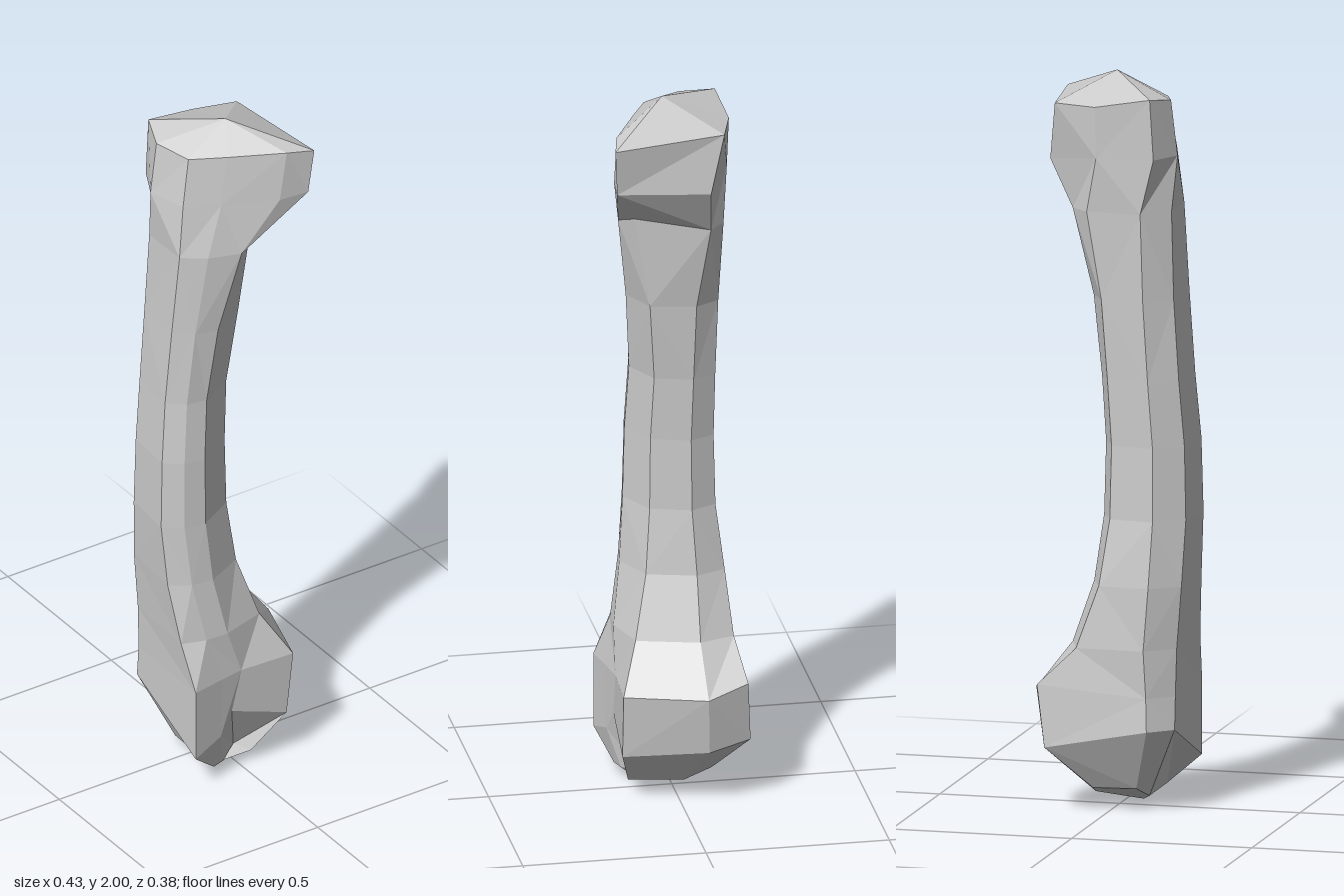
import * as THREE from 'three';

// Eight-sided outlines as fractions of each ring's x and z extent,
// running clockwise from above, starting at the left front corner.
const LOWER = [[0, 1], [0, 0.22], [0.17, 0.06], [0.92, 0], [1, 0.32], [0.83, 0.94], [0.42, 0.92], [0.25, 0.95]];
const SHAFT = [[0, 0.8], [0.04, 0.21], [0.36, 0], [0.86, 0.06], [1, 0.34], [0.87, 0.78], [0.45, 1], [0.2, 0.96]];
const HEAD = [[0.1, 0.6], [0, 0.3], [0.1, 0.03], [0.53, 0], [0.87, 0.1], [1, 1], [0.78, 0.95], [0.36, 0.74]];

// Rings: y, min x, max x, min z, max z, blend (-1 lower end, 0 shaft, 1 head)
const RINGS = [
  [0.035, -0.095, 0.06, -0.1, 0.14, -1],
  [0.14, -0.18, 0.19, -0.185, 0.18, -1],
  [0.32, -0.18, 0.215, -0.175, 0.18, -1],
  [0.45, -0.19, 0.115, -0.165, 0.16, -0.45],
  [0.62, -0.205, 0.055, -0.155, 0.13, -0.15],
  [0.8, -0.215, 0.03, -0.135, 0.115, 0],
  [1.0, -0.21, 0.025, -0.13, 0.11, 0],
  [1.18, -0.195, 0.035, -0.132, 0.1, 0],
  [1.4, -0.18, 0.06, -0.137, 0.115, 0.1],
  [1.64, -0.17, 0.115, -0.142, 0.15, 0.35],
  [1.79, -0.175, 0.185, -0.147, 0.19, 0.9],
  [1.93, -0.155, 0.195, -0.15, 0.19, 1],
];

function ringPoints([y, x0, x1, z0, z1, blend]) {
  const end = blend < 0 ? LOWER : HEAD;
  const t = Math.abs(blend);
  return SHAFT.map(([u, v], i) => new THREE.Vector3(
    THREE.MathUtils.lerp(x0, x1, THREE.MathUtils.lerp(u, end[i][0], t)),
    y,
    THREE.MathUtils.lerp(z0, z1, THREE.MathUtils.lerp(v, end[i][1], t)),
  ));
}

// Skin a stack of rings with facets, closing either end to a point.
function loft(name, rings, { bottom, top } = {}) {
  const pos = [];
  const tri = (...pts) => pts.forEach((p) => pos.push(p.x, p.y, p.z));
  const n = SHAFT.length;
  for (let r = 0; r < rings.length - 1; r++) {
    for (let i = 0; i < n; i++) {
      const j = (i + 1) % n;
      const [a, b, c, d] = [rings[r][i], rings[r][j], rings[r + 1][i], rings[r + 1][j]];
      if ((r + i) % 2) {
        tri(a, c, b);
        tri(b, c, d);
      } else {
        tri(a, d, b);
        tri(a, c, d);
      }
    }
  }
  const first = rings[0], last = rings[rings.length - 1];
  for (let i = 0; i < n; i++) {
    const j = (i + 1) % n;
    if (bottom) tri(bottom, first[i], first[j]);
    if (top) tri(top, last[j], last[i]);
  }
  const geo = new THREE.BufferGeometry();
  geo.setAttribute('position', new THREE.Float32BufferAttribute(pos, 3));
  geo.computeVertexNormals();
  const mesh = new THREE.Mesh(geo, new THREE.MeshStandardMaterial({ color: 0xcccccc, flatShading: true }));
  mesh.name = name;
  return mesh;
}

export function createModel() {
  const group = new THREE.Group();
  group.name = 'legBone';
  const rings = RINGS.map(ringPoints);
  const nudge = (ring, corner, x, y, z) => rings[ring][corner].add(new THREE.Vector3(x, y, z));

  // Groove between the two knuckles at the front
  nudge(0, 6, 0.03, 0.015, -0.03);
  nudge(1, 6, -0.02, 0.06, 0);
  // Slanted rim of the knuckles, higher at the rear left
  nudge(0, 2, 0, 0.025, 0);
  nudge(0, 3, 0, 0.025, 0);
  nudge(1, 0, 0, -0.03, 0);
  nudge(1, 1, 0, 0.09, 0);
  nudge(1, 2, 0, 0.09, 0);
  nudge(1, 3, 0, 0.04, 0);
  nudge(1, 4, 0, 0.02, 0);
  // Ledge where the rear right knuckle leaves the shaft
  nudge(2, 3, 0, 0.03, 0);
  // Hollow under the overhanging corner of the head
  nudge(9, 5, -0.05, 0.02, 0);
  // Fuller rear right side below the head
  nudge(9, 3, 0.015, 0, 0);
  nudge(9, 4, 0.005, 0, -0.02);
  nudge(10, 4, 0.03, -0.02, 0.03);
  // Uneven rim of the head
  nudge(11, 1, 0, 0.01, 0);
  nudge(11, 2, 0, 0.025, 0);
  nudge(11, 5, 0, -0.01, 0);

  group.add(loft('lowerKnuckles', rings.slice(0, 4), { bottom: new THREE.Vector3(-0.045, 0, 0.08) }));
  group.add(loft('shaft', rings.slice(3, 10)));
  group.add(loft('head', rings.slice(9), { top: new THREE.Vector3(0.015, 2, 0.03) }));
  return group;
}
